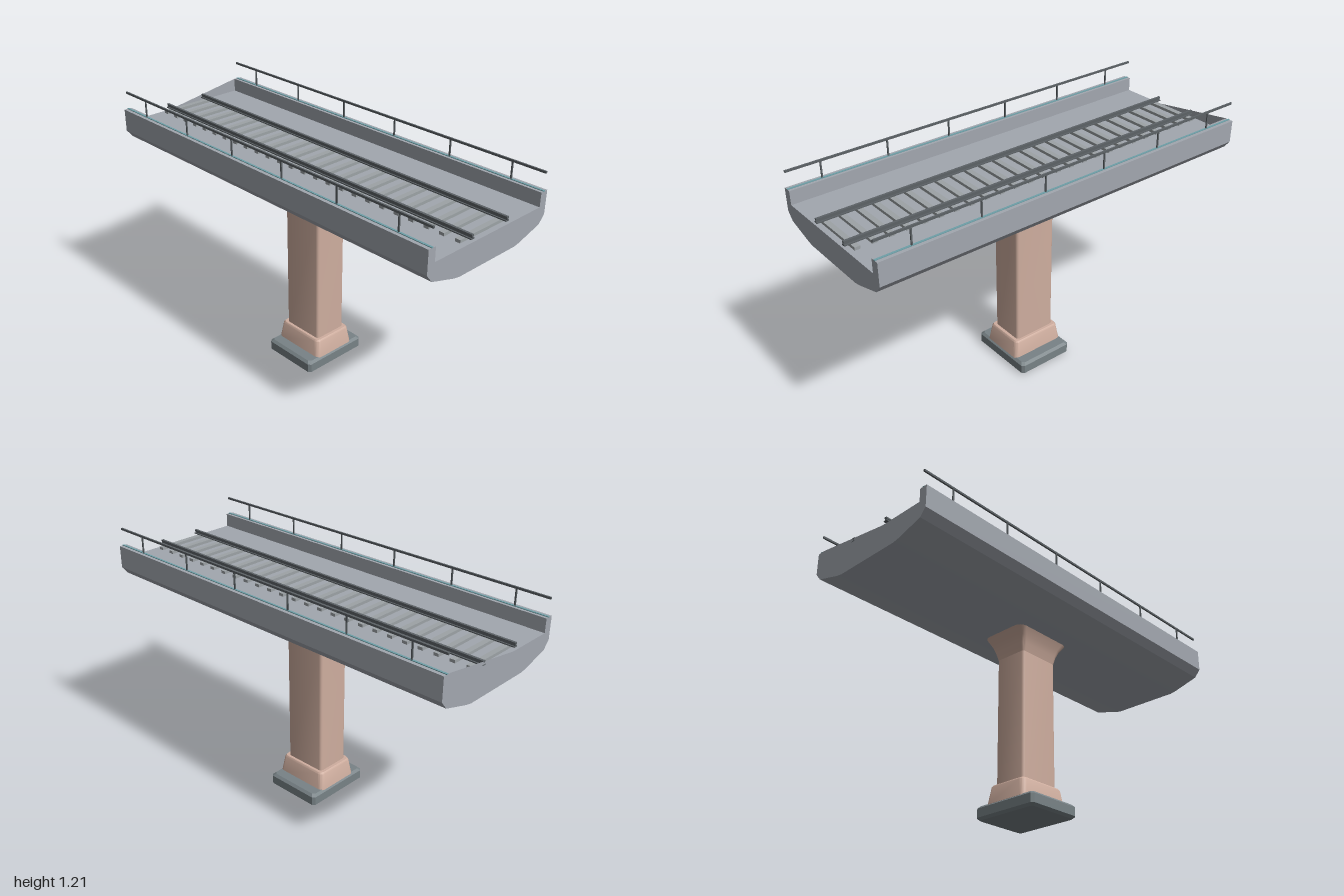
import * as THREE from 'three';
import { toCreasedNormals } from 'three/addons/utils/BufferGeometryUtils.js';

const material = (name, color, side = THREE.FrontSide) => {
  const m = new THREE.MeshStandardMaterial({ color, side });
  m.name = name;
  return m;
};

// Rounded-rectangle outline, counter-clockwise seen from above
function outline(hx, hz, r, steps) {
  const pts = [];
  [[1, 1], [-1, 1], [-1, -1], [1, -1]].forEach(([sx, sz], q) => {
    for (let i = 0; i <= steps; i++) {
      const a = (q + i / steps) * Math.PI / 2;
      pts.push([sx * (hx - r) + r * Math.cos(a), sz * (hz - r) + r * Math.sin(a)]);
    }
  });
  return pts;
}

// Capped loft through sections [y, halfX, halfZ, cornerRadius]
function loft(sections, steps, crease) {
  const pos = [], idx = [], n = 4 * (steps + 1);
  for (const [y, hx, hz, r] of sections) {
    for (const [x, z] of outline(hx, hz, r, steps)) pos.push(x, y, z);
  }
  for (let s = 0; s < sections.length - 1; s++) {
    for (let i = 0; i < n; i++) {
      const a = s * n + i, b = s * n + (i + 1) % n;
      idx.push(a, a + n, b, b, a + n, b + n);
    }
  }
  const top = (sections.length - 1) * n;
  for (let i = 1; i < n - 1; i++) {
    idx.push(0, i, i + 1, top, top + i + 1, top + i);
  }
  const g = new THREE.BufferGeometry();
  g.setAttribute('position', new THREE.Float32BufferAttribute(pos, 3));
  g.setIndex(idx);
  return toCreasedNormals(g, crease);
}

export function createModel() {
  const model = new THREE.Group();
  model.name = 'railwayViaduct';
  const concrete = material('deckConcrete', 0xa2a7af);
  const endConcrete = concrete.clone();
  endConcrete.name = 'deckConcreteThin';
  endConcrete.side = THREE.DoubleSide;
  const clay = material('pierClay', 0xcfae9f);
  const stone = material('footingStone', 0x788286);
  const steel = material('darkSteel', 0x5c6266);
  const sleeperGrey = material('sleeperGrey', 0x9da3a6);
  const teal = material('tealTrim', 0x6fa0a8);

  const add = (name, geometry, mat, x = 0, y = 0, z = 0, parent = model) => {
    const mesh = new THREE.Mesh(geometry, mat);
    mesh.name = name;
    mesh.position.set(x, y, z);
    parent.add(mesh);
    return mesh;
  };
  const box = (w, h, d) => new THREE.BoxGeometry(w, h, d);

  // Footing with chamfered edges
  add('footing', loft([
    [0, 0.166, 0.138, 0.012], [0.012, 0.178, 0.15, 0.012],
    [0.056, 0.178, 0.15, 0.012], [0.068, 0.166, 0.138, 0.012],
  ], 1, 0.3), stone);

  // Pier: tapered plinth, shaft and flared capital
  add('pierPlinth', loft([
    [0.064, 0.118, 0.144, 0.022], [0.147, 0.106, 0.132, 0.022], [0.155, 0.1, 0.126, 0.02],
  ], 3, 0.6), clay);
  add('pierShaft', loft([
    [0.15, 0.087, 0.111, 0.014], [0.81, 0.087, 0.111, 0.014],
  ], 3, 0.6), clay);
  add('pierCapital', loft([
    [0.805, 0.087, 0.111, 0.014], [0.845, 0.097, 0.124, 0.022],
    [0.88, 0.108, 0.142, 0.03], [0.916, 0.125, 0.171, 0.04],
  ], 4, 0.6), clay);

  // Trough-shaped deck, running along z
  const half = [[0.177, 0.929], [0.21, 0.935], [0.343, 0.974], [0.374, 1.012],
    [0.374, 1.123], [0.333, 1.123], [0.333, 1.056]];
  const profile = [...half, ...half.map(([x, y]) => [-x, y]).reverse()];
  const deckShape = new THREE.Shape(profile.map(([x, y]) => new THREE.Vector2(x, y)));
  const deck = new THREE.ExtrudeGeometry(deckShape, { depth: 2, bevelEnabled: false });
  add('deck', toCreasedNormals(deck, 0.6), concrete, 0, 0, -1);

  // Sloped end plate at the back of the deck
  const wedge = new THREE.Shape([[-0.095, 1.056], [0.333, 1.056], [0.333, 1.123]]
    .map(([x, y]) => new THREE.Vector2(x, y)));
  add('deckEndPlate', new THREE.ShapeGeometry(wedge), endConcrete, 0, 0, -1);

  // Sleepers
  const track = new THREE.Group();
  track.name = 'track';
  model.add(track);
  const sleeper = box(0.304, 0.014, 0.026);
  for (let i = 0; i < 25; i++) {
    add('sleeper', sleeper, sleeperGrey, 0, 1.063, -0.96 + i * 0.08, track);
  }

  // Mirrored parts
  for (const s of [-1, 1]) {
    add('bearing', box(0.064, 0.018, 0.06), stone, s * 0.074, 0.922, 0);

    // Rail: foot, web and head
    add('railFoot', box(0.02, 0.005, 2), steel, s * 0.111, 1.0725, 0, track);
    add('railWeb', box(0.006, 0.01, 2), steel, s * 0.111, 1.079, 0, track);
    add('railHead', box(0.012, 0.008, 2), steel, s * 0.111, 1.087, 0, track);

    // Parapet trim and handrail
    add('parapetTrim', box(0.01, 0.004, 2), teal, s * 0.352, 1.124, 0);
    add('handrail', box(0.008, 0.01, 2), steel, s * 0.352, 1.208, 0);
    for (let i = 0; i < 6; i++) {
      add('handrailPost', box(0.006, 0.084, 0.007), steel, s * 0.352, 1.163, (i - 2.5) / 3);
    }
  }
  return model;
}
